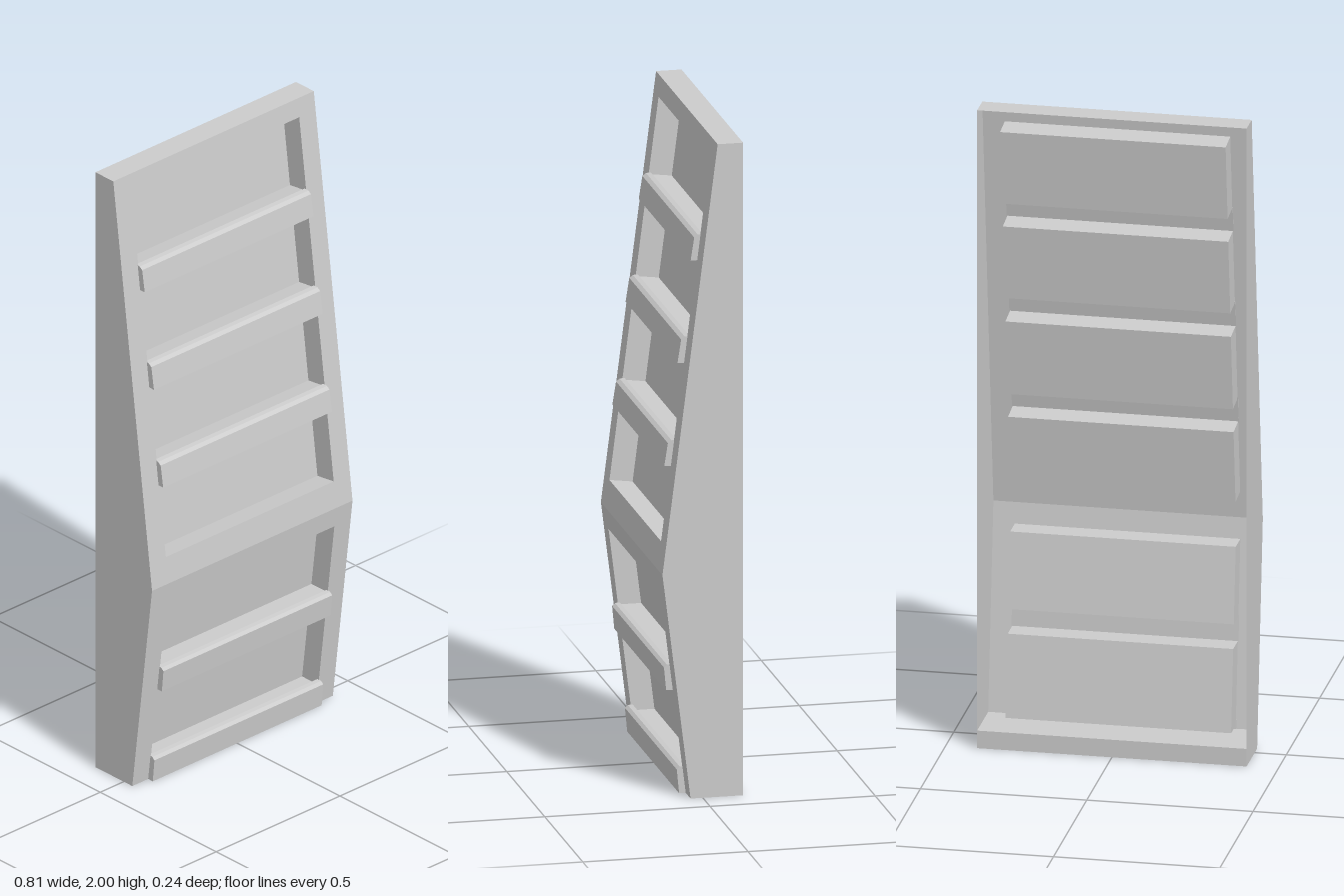
import * as THREE from 'three';

const HALF_W = 0.405, POCKET_W = 0.339, BACK = -0.122, KINK = 0.69, DEPTH = 0.07, SILL = 0.055;

// depth of the folded front face at a given height
const faceZ = (y) => y > KINK
  ? 0.122 - (y - KINK) * 0.167 / (2 - KINK)
  : 0.037 + y * 0.085 / KINK;

// [bottom, top] of each pocket opening
const upperPockets = [[1.705, 1.94], [1.395, 1.63], [1.08, 1.318], [0.775, 1.005]];
const lowerPockets = [[0.392, 0.625], [0.065, 0.318]];
// [bottom, top] of each protruding lip
const lips = [[1.63, 1.71], [1.318, 1.4], [1.005, 1.085], [0.318, 0.398], [0, 0.083]];

const material = new THREE.MeshStandardMaterial({
  color: 0xcccccc, flatShading: true, side: THREE.DoubleSide,
});

const rectPoints = (w, y0, y1) => [[-w, y0], [w, y0], [w, y1], [-w, y1]]
  .map(([x, y]) => new THREE.Vector2(x, y));

// moves every vertex of a geometry by a rule
function bend(geometry, rule) {
  const p = geometry.attributes.position;
  for (let i = 0; i < p.count; i++) p.setXYZ(i, ...rule(p.getX(i), p.getY(i), p.getZ(i)));
  geometry.computeVertexNormals();
  return geometry;
}

// sloped face sheet with its pocket openings cut out
function facePanel(y0, y1, pockets) {
  const shape = new THREE.Shape(rectPoints(HALF_W, y0, y1));
  for (const [b, t] of pockets) shape.holes.push(new THREE.Path(rectPoints(POCKET_W, b, t)));
  return bend(new THREE.ShapeGeometry(shape), (x, y) => [x, y, faceZ(y)]);
}

// open-fronted tray with its back parallel to the face; upper trays tip backward
function pocketTray([b, t]) {
  const g = new THREE.BoxGeometry(1, 1, 1);
  const index = Array.from(g.index.array);
  index.splice(24, 6); // leave the front open
  g.setIndex(index);
  const drop = b > KINK ? 0.009 : 0;
  return bend(g, (x, y, z) => {
    const py = y > 0 ? t : b;
    const px = Math.sign(x) * POCKET_W;
    return z < 0 ? [px, py - drop, faceZ(py) - DEPTH] : [px, py, faceZ(py)];
  });
}

// retaining strip with a slightly bevelled upper edge
function lipBar([b, t]) {
  const section = [[t, -0.006], [t - 0.002, 0.008], [t - 0.01, 0.018], [b, 0.02], [b, 0]];
  const shape = new THREE.Shape(section.map(([y, out]) => new THREE.Vector2(faceZ(y) + out, y)));
  const g = new THREE.ExtrudeGeometry(shape, { depth: 2 * POCKET_W + 0.004, bevelEnabled: false });
  g.translate(0, 0, -POCKET_W - 0.002);
  return g.rotateY(-Math.PI / 2);
}

export function createModel() {
  const model = new THREE.Group();
  model.name = 'wallRack';
  const add = (name, geometry) => {
    const mesh = new THREE.Mesh(geometry, material);
    mesh.name = name;
    model.add(mesh);
    return mesh;
  };

  // folded front
  add('upperFace', facePanel(KINK, 2, upperPockets));
  add('lowerFace', facePanel(0, KINK, lowerPockets));

  // side walls; the back stays open
  const profile = new THREE.Shape([
    [BACK, 0], [faceZ(0), 0], [faceZ(KINK), KINK], [faceZ(2), 2], [BACK, 2],
  ].map(([z, y]) => new THREE.Vector2(z, y)));
  for (const [name, side] of [['leftWall', 1], ['rightWall', -1]]) {
    const wall = add(name, new THREE.ShapeGeometry(profile).rotateY(-Math.PI / 2));
    wall.position.x = side * HALF_W;
  }

  // top and bottom walls, and the upper side of the sill
  for (const [name, y] of [['topWall', 2], ['bottomWall', 0], ['sillTop', SILL]]) {
    const depth = faceZ(y) - BACK;
    const wall = add(name, new THREE.PlaneGeometry(2 * HALF_W, depth)
      .rotateX(y ? -Math.PI / 2 : Math.PI / 2));
    wall.position.set(0, y, BACK + depth / 2);
  }
  add('sillBack', new THREE.PlaneGeometry(2 * HALF_W, SILL).rotateY(Math.PI))
    .position.set(0, SILL / 2, BACK);

  // pockets and their lips
  [...upperPockets, ...lowerPockets].forEach((p, i) => add(`pocket${i + 1}`, pocketTray(p)));
  lips.forEach((l, i) => add(`lip${i + 1}`, lipBar(l)));

  return model;
}
